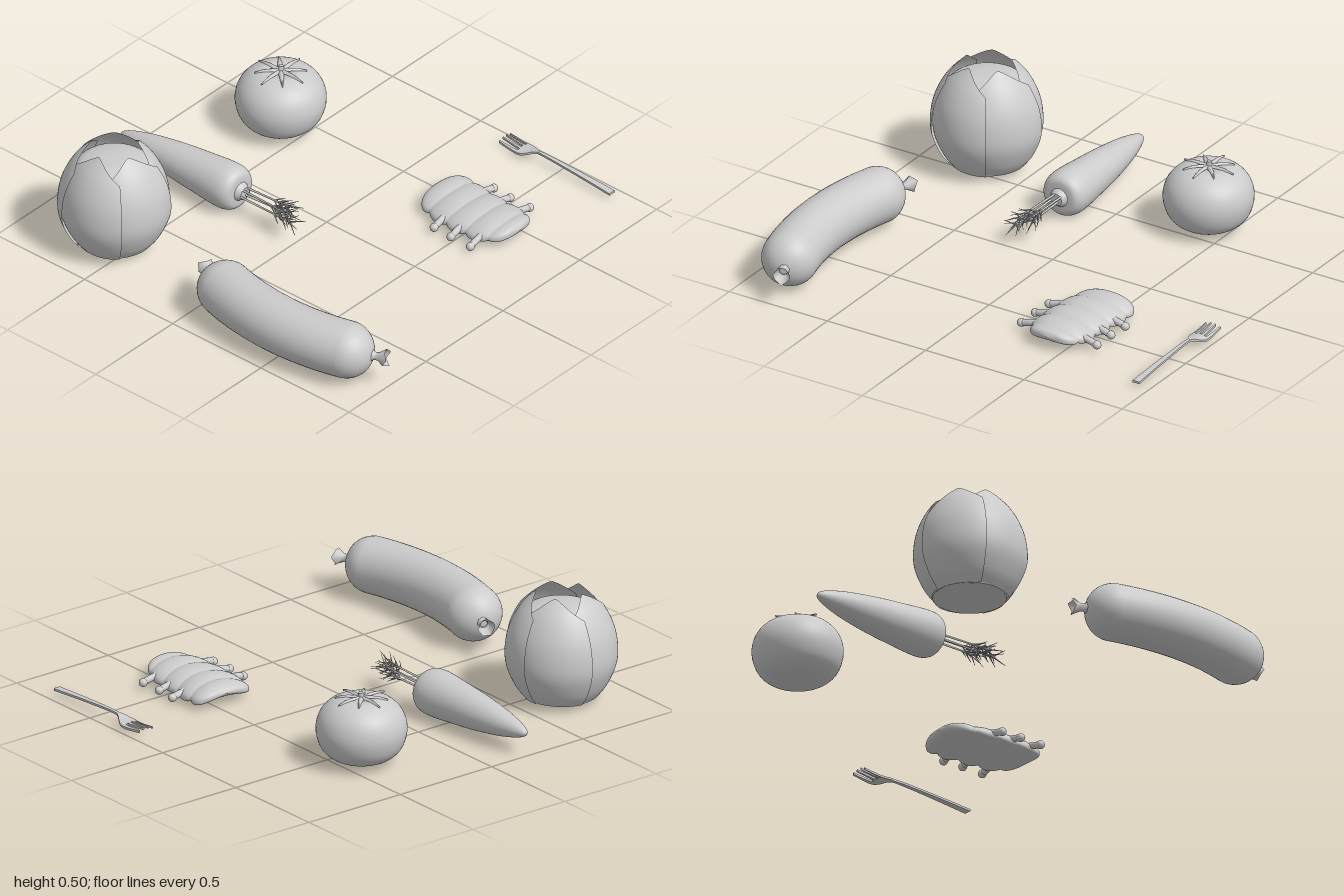
import * as THREE from 'three';
import { mergeVertices } from 'three/addons/utils/BufferGeometryUtils.js';
import { ParametricGeometry } from 'three/addons/geometries/ParametricGeometry.js';

const solid = new THREE.MeshStandardMaterial({ color: 0xcccccc });
const thin = new THREE.MeshStandardMaterial({ color: 0xcccccc, side: THREE.DoubleSide });
const V = (x, y, z) => new THREE.Vector3(x, y, z);

function add(parent, name, geo, mat = solid) {
  const m = new THREE.Mesh(geo, mat);
  m.name = name;
  parent.add(m);
  return m;
}

function group(parent, name) {
  const g = new THREE.Group();
  g.name = name;
  parent.add(g);
  return g;
}

// Move every vertex by a rule; weld seams first for smooth shading
function warp(geo, rule, weld = true) {
  if (weld) {
    geo.deleteAttribute('uv');
    geo.deleteAttribute('normal');
    geo = mergeVertices(geo, 1e-5);
  }
  const p = geo.attributes.position, v = V(0, 0, 0);
  for (let i = 0; i < p.count; i++) {
    rule(v.fromBufferAttribute(p, i));
    p.setXYZ(i, v.x, v.y, v.z);
  }
  geo.computeVertexNormals();
  return geo;
}

const spline = (pts) => new THREE.SplineCurve(pts.map(([x, y]) => new THREE.Vector2(x, y)));

// Smooth turned body from a few [radius, height] points
function turned(pts, steps = 48, sides = 48) {
  const line = spline(pts).getPoints(steps);
  line.forEach((p) => { p.x = Math.max(0, p.x); });
  return new THREE.LatheGeometry(line, sides);
}

// Tapered rod between two points
function rod(a, b, r0, r1, sides = 6) {
  const d = b.clone().sub(a), g = new THREE.CylinderGeometry(r1, r0, d.length(), sides);
  g.applyQuaternion(new THREE.Quaternion().setFromUnitVectors(V(0, 1, 0), d.clone().normalize()));
  const m = a.clone().add(b).multiplyScalar(0.5);
  return g.translate(m.x, m.y, m.z);
}

function buildCabbage(root) {
  const g = group(root, 'cabbage');
  g.position.set(-0.71, 0, -0.585);
  add(g, 'cabbageHeart', turned([[0, 0.03], [0.08, 0.03], [0.152, 0.03], [0.166, 0.045], [0.225, 0.16],
    [0.229, 0.25], [0.21, 0.34], [0.155, 0.415], [0.08, 0.44], [0, 0.445]]));
  // Five overlapping leaves, pointed and curling in at the top
  const profile = spline([[0.16, 0.03], [0.2, 0.085], [0.235, 0.17], [0.24, 0.25],
    [0.222, 0.34], [0.175, 0.43], [0.105, 0.505]]);
  for (let i = 0; i < 5; i++) {
    const mid = THREE.MathUtils.degToRad(57 + 72 * i);
    const leaf = new ParametricGeometry((a, v, out) => {
      const u = a * 2 - 1;
      const p = profile.getPoint(v * (1 - 0.18 * Math.pow(Math.abs(u), 1.2)));
      const t = mid + u * 0.8, r = p.x + 0.007 * u;
      out.set(r * Math.sin(t), p.y, r * Math.cos(t));
    }, 24, 30);
    add(g, 'cabbageLeaf', leaf, thin);
  }
}

function buildSausage(root) {
  const g = group(root, 'sausage'), R = 1.215;
  const arc = (v) => {
    const a = v.z / R, q = R - v.x;
    v.set(-0.855 + R - q * Math.cos(a), v.y + 0.145, 0.475 + q * Math.sin(a));
  };
  const body = new THREE.CapsuleGeometry(0.125, 0.69, 14, 36, 24).rotateX(Math.PI / 2);
  add(g, 'sausageBody', warp(body, arc));
  // Pinched, flared skin at both ends
  for (const s of [-1, 1]) {
    const pts = [[0.034, 0.455], [0.018, 0.478], [0.019, 0.495], [0.039, 0.53]].map((p) => new THREE.Vector2(...p));
    const tail = new THREE.LatheGeometry(pts, 7).rotateX(s * Math.PI / 2);
    add(g, 'sausageTail', warp(tail, (v) => {
      if (Math.abs(v.z) > 0.52) v.z += s * 0.013 * Math.sin(3 * Math.atan2(v.y, v.x));
      arc(v);
    }), thin);
  }
}

function buildCarrot(root) {
  const g = group(root, 'carrot');
  const body = turned([[0, -1], [0.018, -0.985], [0.038, -0.93], [0.06, -0.83], [0.081, -0.68], [0.094, -0.54],
    [0.103, -0.43], [0.1, -0.37], [0.08, -0.337], [0.045, -0.33], [0, -0.328]]).rotateX(Math.PI / 2);
  add(g, 'carrotRoot', warp(body, (v) => {
    const k = Math.max(0, -v.z - 0.4);
    v.x += -0.18 - 0.03 * k * k;
    v.y += 0.107;
  }));
  const crown = new THREE.CylinderGeometry(0.028, 0.046, 0.03, 20).rotateX(Math.PI / 2).translate(-0.18, 0.107, -0.32);
  add(g, 'carrotCrown', crown);
  // Stems with feathery leaflets
  const stems = [[-0.205, 0.1, -0.205, 0.1, -0.03], [-0.19, 0.128, -0.2, 0.13, -0.05],
    [-0.175, 0.095, -0.165, 0.1, -0.1], [-0.16, 0.122, -0.155, 0.13, -0.085]];
  stems.forEach(([x0, y0, x1, y1, z1], i) => {
    const a = V(x0, y0, -0.33), b = V(x1, y1, z1);
    add(g, 'carrotStem', rod(a, b, 0.0055, 0.004));
    for (let k = 0; k < 5; k++) for (let j = 0; j < 3; j++) {
      const base = a.clone().lerp(b, 1 - k * 0.075);
      const t = j * 2.094 + k * 0.9 + i * 1.3, w = 0.042 - 0.003 * k;
      const tip = base.clone().add(V(Math.cos(t) * w * 1.15, Math.sin(t) * w, 0.05));
      add(g, 'carrotLeaflet', rod(base, tip, 0.0035, 0.001, 4));
    }
  });
}

function buildTomato(root) {
  const g = group(root, 'tomato');
  g.position.set(0.4, 0, -0.61);
  add(g, 'tomatoBody', turned([[0, 0.03], [0.06, 0.02], [0.125, 0.034], [0.175, 0.08], [0.197, 0.155],
    [0.183, 0.225], [0.14, 0.276], [0.08, 0.301], [0.03, 0.293], [0, 0.285]]));
  add(g, 'tomatoStem', rod(V(0, 0.285, 0), V(0.004, 0.326, 0), 0.016, 0.011, 8));
  // Narrow star-shaped sepals
  for (let i = 0; i < 8; i++) {
    const len = i % 2 ? 0.105 : 0.118;
    const sepal = new ParametricGeometry((a, v, out) => {
      const u = a * 2 - 1, w = 0.013 * Math.pow(1 - v, 0.7) + 0.001;
      out.set(u * w, 0.3 + 0.008 * (1 - u * u) + 0.004 * Math.sin(Math.PI * v) - 0.008 * v * v * v, 0.008 + len * v);
    }, 4, 10).rotateY(i * Math.PI / 4);
    add(g, 'tomatoSepal', sepal, thin);
  }
}

function buildRibs(root) {
  const g = group(root, 'ribs');
  const left = spline([[0, 0.32], [1, 0.295], [2, 0.28], [3, 0.278], [4, 0.285], [5, 0.305]]);
  const right = spline([[0, 0.605], [1, 0.602], [2, 0.588], [3, 0.58], [4, 0.572], [5, 0.56]]);
  const power = (c) => Math.sign(c) * Math.pow(Math.abs(c), 0.7);
  // Arched slab of meat, scalloped between the bones
  const meat = new THREE.CylinderGeometry(1, 1, 1, 36, 80, true).rotateX(Math.PI / 2);
  add(g, 'ribMeat', warp(meat, (v) => {
    const t = v.z + 0.5, e = Math.pow(Math.max(0, 1 - Math.pow(Math.abs(2 * v.z), 7)), 0.4);
    const lobe = Math.pow(Math.abs(Math.sin((t * 4.6 + 0.0) * Math.PI)), 0.6);
    const l = left.getPoint(t).y, r = right.getPoint(t).y;
    const dx = power(v.x) * ((r - l) / 2 - 0.016 * (1 - lobe)) * e;
    const y = 0.068 - 1.5 * dx * dx + power(v.y) * 0.032 * e * (0.68 + 0.32 * lobe);
    v.set((l + r) / 2 + dx, y, 0.23 + 0.49 * t - 0.12 * dx * dx / 0.15 + 0.06 * dx * (1 - t));
  }), thin);
  for (const [x0, x1, z] of [[0.24, 0.628, 0.4], [0.235, 0.62, 0.5], [0.235, 0.62, 0.61]]) {
    const path = new THREE.QuadraticBezierCurve3(V(x0, 0.034, z), V((x0 + x1) / 2, 0.09, z - 0.01), V(x1, 0.034, z));
    add(g, 'ribBone', new THREE.TubeGeometry(path, 20, 0.015, 12));
    for (const x of [x0, x1]) {
      add(g, 'ribBoneEnd', new THREE.SphereGeometry(0.019, 14, 10)).position.set(x, 0.034, z);
    }
  }
}

function buildFork(root) {
  const g = group(root, 'fork');
  const height = spline([[0.19, 0.042], [0.27, 0.034], [0.33, 0.037], [0.4, 0.048], [0.6, 0.041], [0.8, 0.029]]);
  const heights = height.getPoints(60);
  const heightAt = (z) => {
    const i = Math.max(1, heights.findIndex((p) => p.x >= z - 1e-6)), a = heights[i - 1], b = heights[i];
    return a.y + (b.y - a.y) * (z - a.x) / (b.x - a.x);
  };
  // Strip along z whose width follows a rule, crowned across x
  const strip = (name, z0, z1, width, x = 0) => {
    const box = new THREE.BoxGeometry(1, 0.01, 1, 6, 1, 14);
    add(g, name, warp(box, (v) => {
      const t = v.z + 0.5, z = z0 + (z1 - z0) * t, dx = x + v.x * width(t);
      v.set(0.94 + dx, heightAt(z) + v.y - 6 * dx * dx, z);
    }, false));
  };
  strip('forkHandle', 0.37, 0.8, (t) => 0.014 + 0.02 * t);
  strip('forkHead', 0.29, 0.385, (t) => 0.014 + 0.07 * Math.pow(1 - THREE.MathUtils.smoothstep(t, 0.1, 1), 0.8));
  for (const x of [-0.036, -0.012, 0.012, 0.036]) strip('forkTine', 0.19, 0.3, (t) => 0.006 + 0.007 * t, x);
}

export function createModel() {
  const root = new THREE.Group();
  root.name = 'foodSet';
  [buildCabbage, buildSausage, buildCarrot, buildTomato, buildRibs, buildFork].forEach((build) => build(root));
  return root;
}
